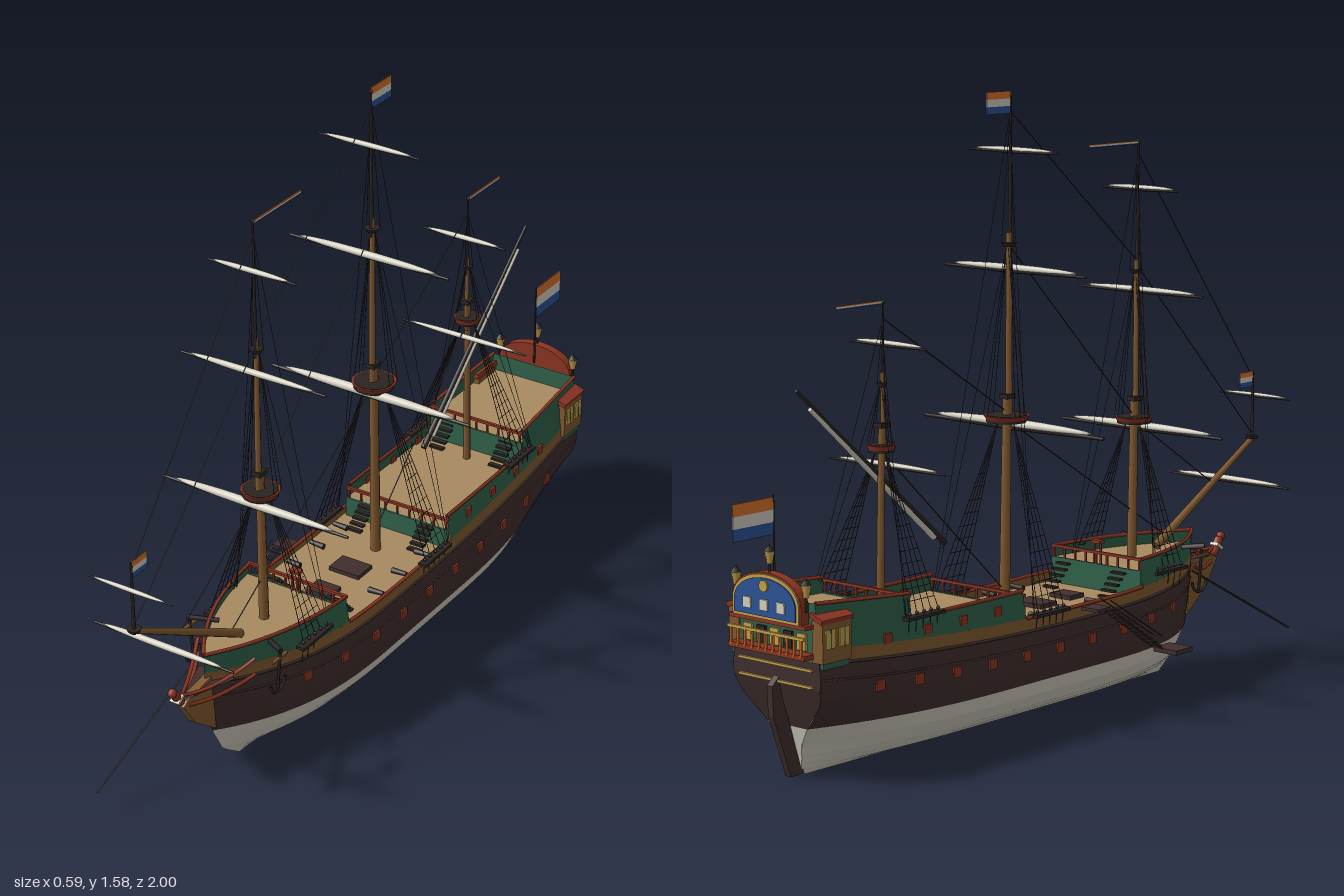
import * as THREE from 'three';

const mat = (name, color) => new THREE.MeshStandardMaterial({ name, color, side: THREE.DoubleSide });
const V = (x, y, z) => new THREE.Vector3(x, y, z);
// piecewise-linear lookup in [key, value] pairs
const look = (p, k) => {
  if (k <= p[0][0]) return p[0][1];
  for (let i = 1; i < p.length; i++) if (k <= p[i][0]) {
    return THREE.MathUtils.mapLinear(k, p[i - 1][0], p[i][0], p[i - 1][1], p[i][1]);
  }
  return p[p.length - 1][1];
};

// hull form: midship half width, stem, sternpost and stern narrowing, all by height
const beam = [[0, .006], [.02, .065], [.05, .118], [.09, .155], [.13, .17], [.18, .175], [.25, .169], [.3, .161], [.37, .15], [.45, .142]];
const stem = [[0, .575], [.05, .645], [.13, .688], [.25, .712], [.4, .716]];
const tuck = [[0, .15], [.08, .2], [.14, .42], [.2, .75], [.25, .86], [.45, .9]];
const bowZ = y => look(stem, y), sternZ = y => -.79 - .075 * Math.min(y / .24, 1);
const half = (t, y) => {
  const b = Math.max(0, (t - .62) / .38), s = Math.max(0, (.4 - t) / .4);
  return look(beam, y) * (1 - b ** 2.9) * (1 - (1 - look(tuck, y)) * s ** 2.4);
};
const tAt = (z, y) => (z - sternZ(y)) / (bowZ(y) - sternZ(y));
const hullPoint = (t, y, side) => V(side * half(t, y), y, THREE.MathUtils.lerp(sternZ(y), bowZ(y), t));
const T = z => (z + .865) / 1.58;
const sheer = t => { const z = t * 1.58 - .865; return .26 + (z < 0 ? .06 * z * z : .042 * z * z); };

export function createModel() {
  const root = new THREE.Group();
  root.name = 'sailingShip';
  const M = {
    hull: mat('dark hull', 0x3f2e2d), white: mat('off white', 0xd3cfc0), deck: mat('deck wood', 0xa88a60),
    wood: mat('brown wood', 0x80592f), green: mat('green paint', 0x2f614a), red: mat('red paint', 0x8b3522),
    orange: mat('orange', 0xd9722a), blue: mat('blue', 0x2b5296), gold: mat('gold', 0xc4a04a), dark: mat('tarred black', 0x2a2422),
  };
  const add = (name, geo, m, p) => {
    const o = new THREE.Mesh(geo, m);
    o.name = name;
    if (p) o.position.copy(p);
    root.add(o);
    return o;
  };
  const box = (name, w, h, d, m, x, y, z) => add(name, new THREE.BoxGeometry(w, h, d), m, V(x, y, z));
  const spar = (name, a, b, r0, r1, m, n = 8) => {
    const o = add(name, new THREE.CylinderGeometry(r1, r0, a.distanceTo(b), n), m, a.clone().lerp(b, .5));
    o.quaternion.setFromUnitVectors(V(0, 1, 0), b.clone().sub(a).normalize());
    return o;
  };
  const rope = (a, b, r = .0012) => spar('rope', a, b, r, r, M.dark, 4);
  // faceted surface from a grid of points
  const grid = (name, fn, n, m, material) => {
    const pos = [], idx = [];
    for (let i = 0; i <= n; i++) for (let j = 0; j <= m; j++) pos.push(...fn(i / n, j / m).toArray());
    for (let i = 0; i < n; i++) for (let j = 0; j < m; j++) {
      const a = i * (m + 1) + j, b = a + m + 1;
      idx.push(a, b, a + 1, b, b + 1, a + 1);
    }
    let g = new THREE.BufferGeometry();
    g.setAttribute('position', new THREE.Float32BufferAttribute(pos, 3));
    g.setIndex(idx);
    g = g.toNonIndexed();
    g.computeVertexNormals();
    return add(name, g, material);
  };
  const band = (name, y0, y1, z0, z1, rows, m) => [-1, 1].forEach(s => grid(name, (u, v) => {
    const t = THREE.MathUtils.lerp(T(z0), T(z1), u);
    return hullPoint(t, THREE.MathUtils.lerp(y0(t), y1(t), v), s);
  }, Math.ceil((z1 - z0) * 24), rows, m));
  const deck = (name, y, z0, z1) => grid(name, (u, v) => {
    const t = THREE.MathUtils.lerp(T(z0), T(z1), u), p = hullPoint(t, y(t), 1);
    return V(p.x * (2 * v - 1), p.y, p.z);
  }, Math.ceil((z1 - z0) * 24), 1, M.deck);
  const transom = (name, y0, y1, m) => grid(name, (u, v) => {
    const p = hullPoint(0, THREE.MathUtils.lerp(y0, y1, u), 1);
    return V(p.x * (1 - 2 * v), p.y, p.z);
  }, 8, 1, m);
  const rail = (name, y, z0, z1, r, m) => [-1, 1].forEach(s => {
    const pts = Array.from({ length: 17 }, (_, i) => {
      const t = THREE.MathUtils.lerp(T(z0), T(z1), i / 16);
      return hullPoint(t, y(t), s);
    });
    add(name, new THREE.TubeGeometry(new THREE.CatmullRomCurve3(pts), 32, r, 5), m);
  });
  // thin plate lying on the hull side
  const plate = (name, z, y, w, h, m, s) => {
    const a = hullPoint(tAt(z - .01, y), y, s), b = hullPoint(tAt(z + .01, y), y, s);
    const o = box(name, .008, h, w, m, (a.x + b.x) / 2, y, z);
    o.rotation.y = Math.atan2(b.x - a.x, b.z - a.z);
  };

  // hull planking and bulwarks
  const STERN = -.865, BOW = .715, waleTop = t => sheer(t) + .033;
  band('bottom', () => 0, () => .13, STERN, BOW, 7, M.white);
  band('topside', () => .13, sheer, STERN, BOW, 4, M.hull);
  band('wale', sheer, waleTop, STERN, BOW, 1, M.wood);
  const foreTop = () => .367, quarterTop = () => .363, poopTop = t => .445 - .12 * t;
  band('forecastleBulwark', waleTop, foreTop, .31, BOW, 2, M.green);
  band('quarterBulwark', waleTop, quarterTop, -.56, -.16, 2, M.green);
  band('poopBulwark', waleTop, poopTop, STERN, -.56, 3, M.green);
  rail('forecastleRail', foreTop, .31, BOW, .005, M.red);
  rail('quarterRail', quarterTop, -.56, -.16, .005, M.red);
  rail('poopRail', poopTop, STERN, -.56, .005, M.red);
  rail('waistRail', waleTop, -.16, .31, .005, M.red);
  rail('rubbingStrake', sheer, STERN, BOW, .004, M.hull);
  rail('wale', t => sheer(t) - .04, STERN, BOW, .003, M.hull);

  // decks, bulkheads and their rails
  deck('foredeck', () => .335, .31, BOW);
  deck('waistDeck', () => .268, -.17, .32);
  deck('quarterDeck', () => .32, -.57, -.16);
  deck('poopDeck', t => .395 - .07 * t, STERN, -.56);
  [[.31, .265, .337, .15], [-.16, .265, .322, .158], [-.56, .31, .385, .143]].forEach(([z, y0, y1, w]) => {
    box('bulkhead', 2 * w, y1 - y0, .006, M.green, 0, (y0 + y1) / 2, z);
    box('breakRail', 2 * w, .007, .008, M.red, 0, y1 + .03, z);
    for (let i = -4; i <= 4; i++) box('railPost', .005, .03, .005, M.red, i * w / 4.2, y1 + .015, z);
  });
  // stairs beside each break of the deck
  [[.26, .268, .335, 1], [-.125, .268, .32, -1], [-.535, .32, .38, -1]].forEach(([z, y0, y1, dir]) => [-1, 1].forEach(s => {
    for (let i = 0; i < 5; i++) box('stairStep', .042, .006, .014, M.dark, s * .093, y0 + (y1 - y0) * (i + .5) / 5, z + dir * (i - 2) * .013);
  }));
  box('mainHatch', .09, .012, .065, M.hull, 0, .273, .065);
  box('foreHatch', .07, .012, .055, M.hull, 0, .273, .19);
  [-.08, .03, .14].forEach(z => [-1, 1].forEach(s => {
    const c = spar('deckGun', V(s * .105, .283, z), V(s * .148, .285, z), .008, .006, M.dark);
    c.name = 'deckGun';
  }));
  box('belfry', .03, .008, .02, M.red, 0, .395, .315);
  [-1, 1].forEach(s => box('belfryPost', .005, .06, .005, M.red, s * .011, .365, .315));

  // gun ports
  [-1, 1].forEach(s => {
    for (let i = 0; i < 10; i++) plate('gunPort', .465 - i * .127, .203 + .02 * ((i - 4) / 5) ** 2, .026, .026, M.red, s);
    [-.26, -.385, -.51, -.645].forEach(z => plate('upperGunPort', z, .328, .024, .024, M.red, s));
  });

  // stern: transom, gallery and arched taffrail
  transom('lowerTransom', 0, .13, M.white);
  transom('midTransom', .13, .305, M.hull);
  transom('upperTransom', .305, .445, M.green);
  [.245, .285].forEach(y => box('sternMoulding', .24, .006, .008, M.gold, 0, y, -.868));
  box('galleryFloor', .25, .012, .035, M.red, 0, .32, -.882);
  box('galleryRail', .25, .007, .008, M.gold, 0, .365, -.898);
  box('galleryBeam', .25, .01, .03, M.red, 0, .39, -.88);
  for (let i = -5; i <= 5; i++) box('baluster', .005, .045, .006, M.orange, i * .023, .343, -.898);
  for (let i = -2; i <= 2; i++) box('sternWindow', .028, .04, .008, i % 2 ? M.dark : M.gold, i * .044, .35, -.868);
  const arch = (w, y0, y1, y2, d) => {
    const s = new THREE.Shape();
    s.moveTo(-w, y0).lineTo(w, y0).lineTo(w, y1);
    s.bezierCurveTo(w * .85, y2 + .006, -w * .85, y2 + .006, -w, y1);
    return new THREE.ExtrudeGeometry(s, { depth: d, bevelEnabled: false, curveSegments: 16 });
  };
  add('taffrail', arch(.112, .39, .445, .52, .025), M.red, V(0, 0, -.895));
  add('taffrailTrim', arch(.108, .395, .443, .515, .004), M.gold, V(0, 0, -.899));
  add('taffrailPanel', arch(.1, .402, .44, .505, .004), M.blue, V(0, 0, -.902));
  for (let i = -1; i <= 1; i++) box('panelWindow', .026, .026, .004, M.white, i * .055, .43, -.904);
  add('crest', new THREE.CylinderGeometry(.014, .014, .006, 12).rotateX(Math.PI / 2), M.gold, V(0, .475, -.903));
  [[0, .525, -.883], [-.115, .46, -.88], [.115, .46, -.88]].forEach(([x, y, z]) => {
    spar('lanternStem', V(x, y - .035, z), V(x, y, z), .003, .003, M.dark, 6);
    add('lantern', new THREE.CylinderGeometry(.013, .007, .03, 6), M.gold, V(x, y + .015, z));
    add('lanternCap', new THREE.ConeGeometry(.013, .016, 6), M.dark, V(x, y + .038, z));
  });
  // quarter galleries
  [-1, 1].forEach(s => {
    box('quarterGallery', .035, .1, .095, M.wood, s * .137, .355, -.82);
    const roof = box('galleryRoof', .042, .012, .105, M.red, s * .137, .411, -.82);
    roof.rotation.z = -s * .35;
    box('galleryBase', .028, .02, .085, M.green, s * .137, .3, -.82);
    [-.843, -.798].forEach(z => {
      box('galleryWindow', .006, .045, .032, M.gold, s * .155, .362, z);
      box('windowBar', .008, .045, .003, M.green, s * .155, .362, z);
    });
  });
  // rudder
  const side = (name, pts, w, m) => {
    const g = new THREE.ExtrudeGeometry(new THREE.Shape(pts.map(p => new THREE.Vector2(-p[0], p[1]))), { depth: w, bevelEnabled: false });
    return add(name, g.translate(0, 0, -w / 2).rotateY(Math.PI / 2), m);
  };
  side('rudder', [[-.785, .005], [-.83, .005], [-.885, .16], [-.888, .235], [-.865, .255], [-.855, .2]], .018, M.hull);
  // beakhead, its rails and figurehead
  side('beakhead', [[.685, .14], [.77, .205], [.815, .275], [.8, .285], [.7, .3]], .022, M.wood);
  grid('beakGrating', (u, v) => V((2 * v - 1) * .055 * (1 - u * .9), .288, .66 + u * .14), 3, 1, M.hull);
  [-1, 1].forEach(s => [[.335, .3], [.29, .27]].forEach(([a, b]) => add('beakRail', new THREE.TubeGeometry(
    new THREE.QuadraticBezierCurve3(V(s * .085, a, .62), V(s * .035, b - .02, .73), V(0, b + .005, .81)), 12, .005, 5), M.red)));
  const fig = add('figurehead', new THREE.CapsuleGeometry(.012, .035, 4, 8), M.red, V(0, .305, .825));
  fig.rotation.x = .6;
  add('figureheadHead', new THREE.SphereGeometry(.012, 8, 6), M.red, V(0, .33, .845));
  box('figureheadBand', .027, .008, .027, M.white, 0, .305, .827).rotation.x = .6;
  // catheads, anchors and the anchor cable
  [-1, 1].forEach(s => {
    spar('cathead', V(s * .07, .352, .55), V(s * .14, .36, .59), .007, .007, M.dark, 4);
    spar('anchorShank', V(s * .135, .35, .585), V(s * .125, .235, .585), .004, .004, M.dark, 6);
    const arm = add('anchorArms', new THREE.TorusGeometry(.03, .004, 5, 10, Math.PI), M.dark, V(s * .127, .265, .585));
    arm.rotation.set(0, Math.PI / 2, Math.PI, 'YXZ');
    box('anchorStock', .007, .007, .06, M.wood, s * .134, .335, .585);
  });
  rope(V(-.09, .285, .6), V(-.135, .07, .98), .003);

  // masts: [foot z, head z, foot y, platform y, platform radius, topmast head, pole head, mast radius, channel z and y]
  const yard = (name, y, z, w, r) => {
    [-1, 1].forEach(s => spar(name, V(0, y, z), V(s * w, y, z), r, r * .45, M.dark));
    const sail = add('furledSail', new THREE.SphereGeometry(1, 14, 8), M.white, V(0, y + r * .9, z + .003));
    sail.scale.set(w * .88, r * 1.35, r * 1.5);
  };
  const masts = [
    ['fore', .457, .475, .33, .7, .05, 1.12, 1.43, .013, .44, .318],
    ['main', -.055, -.03, .265, .765, .058, 1.23, 1.57, .014, -.075, .297],
    ['mizzen', -.512, -.495, .32, .748, .036, .93, 1.1, .01, -.525, .365],
  ];
  masts.forEach(([n, z0, z1, y0, yp, pr, yt, ye, r, cz, cy]) => {
    const at = y => V(0, y, THREE.MathUtils.mapLinear(y, y0, ye, z0, z1));
    const off = (y, x, z) => at(y).add(V(x, 0, z));
    spar(n + 'Mast', at(y0), at(yp + .06), r, r * .8, M.wood);
    spar(n + 'Topmast', off(yp - .03, 0, .008), at(yt), r * .65, r * .5, M.wood);
    spar(n + 'PoleMast', off(yt - .05, 0, .004), at(ye), r * .4, r * .2, M.dark);
    add(n + 'Top', new THREE.CylinderGeometry(pr, pr * .85, .016, 16), M.red, at(yp));
    add(n + 'TopFloor', new THREE.CylinderGeometry(pr * .9, pr * .9, .018, 16), M.dark, at(yp));
    box(n + 'Cap', .026, .012, .032, M.dark, 0, yp + .055, at(yp).z + .003);
    add(n + 'Crosstrees', new THREE.CylinderGeometry(pr * .35, pr * .25, .01, 8), M.dark, at(yt - .03));
    add(n + 'Truck', new THREE.SphereGeometry(.005, 6, 5), M.dark, at(ye));
    // channels, shrouds and ratlines
    [-1, 1].forEach(s => {
      const x = half(tAt(cz, cy), cy) + .008;
      box(n + 'Channel', .024, .008, .13, M.dark, s * x, cy, cz);
      const foot = i => V(s * x, cy + .01, cz + .05 - i * .025), head = off(yp - .01, s * pr * .45, -.004);
      for (let i = 0; i < 5; i++) {
        rope(foot(i), head);
        add('deadeye', new THREE.SphereGeometry(.005, 6, 4), M.dark, foot(i));
        rope(foot(i), V(s * (x - .005), cy - .05, foot(i).z));
      }
      for (let k = 1; k < 12; k++) rope(foot(0).lerp(head, k / 13), foot(4).lerp(head, k / 13), .0009);
      [-.7, 0, .6].forEach(k => rope(off(yp + .01, s * pr * .9, -pr * (.2 + k * .5)), off(yt - .03, s * .006, 0), .001));
      rope(off(yt - .03, s * pr * .35, -.005), off(ye - .06, s * .002, 0), .0009);
      rope(V(s * x, cy, cz - .06), off(yt - .02, 0, -.004), .0009);
      rope(V(s * x, cy, cz - .065), off(ye - .05, 0, -.003), .0009);
    });
  });

  // yards with furled sails
  [['foreYard', .672, .49, .27, .008], ['foreTopsailYard', 1.035, .487, .208, .006], ['foreTopgallantYard', 1.303, .484, .125, .005],
    ['mainYard', .74, -.025, .296, .009], ['mainTopsailYard', 1.133, -.018, .233, .007], ['mainTopgallantYard', 1.43, -.02, .145, .005],
    ['crossjackYard', .7, -.485, .19, .005], ['mizzenTopsailYard', .993, -.478, .125, .005],
    ['spritsailYard', .48, .875, .203, .006], ['spritTopsailYard', .7, .993, .12, .004]].forEach(a => yard(...a));
  const low = V(.017, .477, -.26), high = V(.017, .915, -.772);
  spar('lateenYard', low, high, .008, .004, M.dark);
  spar('lateenSail', low.clone().lerp(high, .06).add(V(.003, -.007, -.005)), low.clone().lerp(high, .9).add(V(.003, -.006, -.004)), .009, .006, M.white);

  // bowsprit and its topmast
  spar('bowsprit', V(0, .345, .56), V(0, .585, .985), .012, .007, M.wood);
  spar('spritTopmast', V(0, .575, .983), V(0, .77, .985), .005, .003, M.dark);
  add('spritTop', new THREE.CylinderGeometry(.018, .015, .008, 10), M.dark, V(0, .587, .983));

  // stays
  [[1.4, .474, .75, .985], [1.11, .469, .6, .98], [.7, .462, .48, .81], [1.53, -.031, 1.12, .469], [1.2, -.038, .71, .462],
    [.76, -.045, .37, .6], [1.06, -.496, .78, -.045], [.74, -.503, .33, -.06]]
    .forEach(([y0, z0, y1, z1]) => rope(V(0, y0, z0), V(0, y1, z1), .0016));

  // flags and pennants in three stripes, flying aft
  const flag = (name, z, y, len, h) => [M.orange, M.white, M.blue].forEach((m, i) =>
    box(name, .003, h / 3, len, m, 0, y - h * (i + .5) / 3, z - len / 2));
  flag('mainFlag', -.03, 1.58, .09, .055);
  flag('bowFlag', .985, .77, .06, .042);
  flag('sternFlag', -.87, .68, .13, .088);
  flag('forePennant', .475, 1.43, .2, .009);
  flag('mizzenPennant', -.495, 1.103, .16, .009);
  spar('ensignStaff', V(0, .45, -.868), V(0, .685, -.868), .003, .002, M.dark, 6);

  // boarding ladder on the right side
  box('upperLanding', .055, .008, .05, M.hull, -.193, .285, .075);
  box('lowerLanding', .075, .012, .068, M.hull, -.227, .137, .346);
  [-.187, -.219].forEach(x => {
    spar('ladderSide', V(x, .283, .1), V(x, .143, .313), .003, .003, M.dark, 4);
    spar('ladderHandrail', V(x, .305, .1), V(x, .175, .313), .0015, .0015, M.dark, 4);
  });
  for (let i = 0; i < 11; i++) box('ladderStep', .034, .004, .011, M.dark, -.203, .277 - i * .0125, .11 + i * .0192);
  return root;
}
